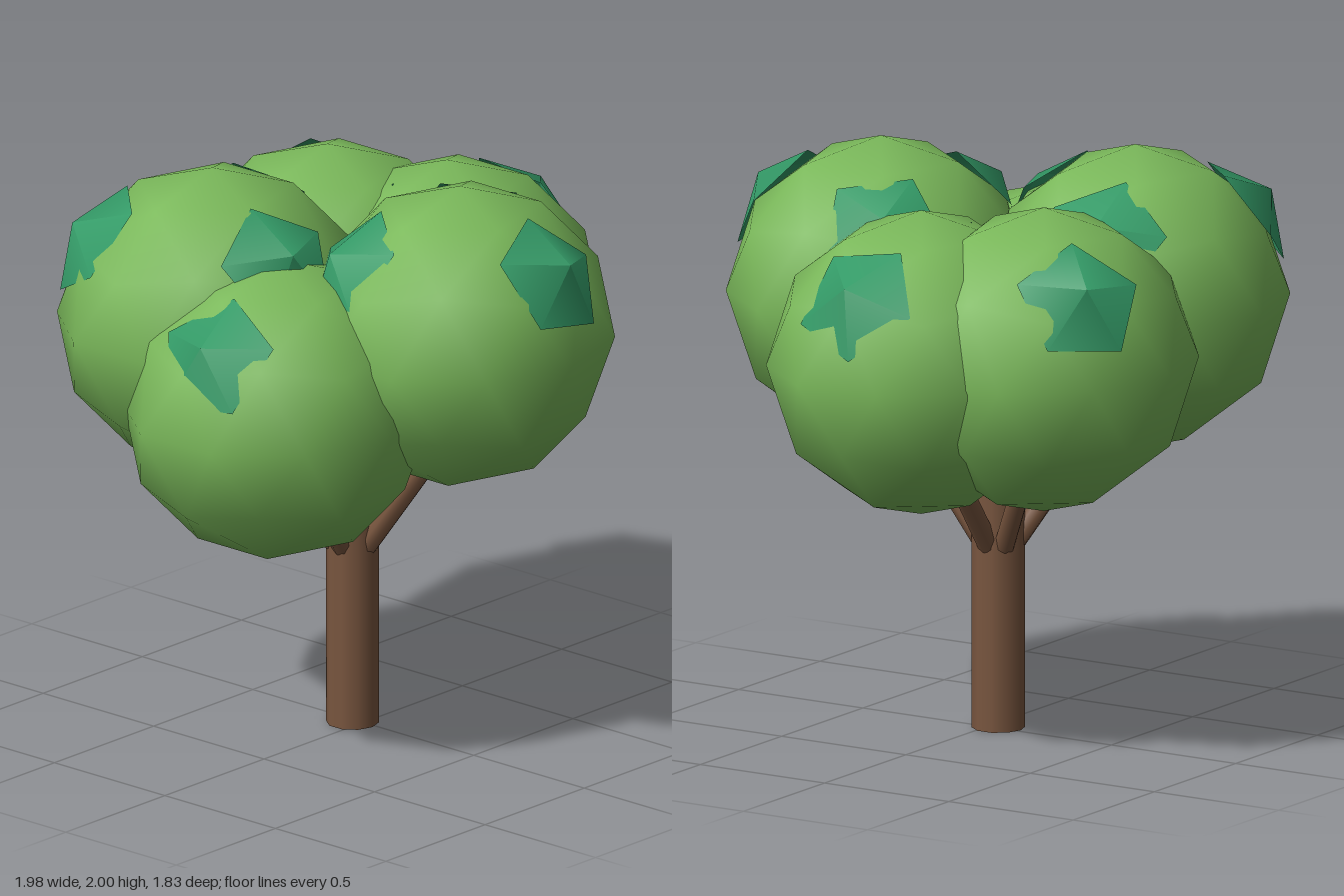
import * as THREE from 'three';

const bark = new THREE.MeshStandardMaterial({ color: 0x79563f });
const leaf = new THREE.MeshStandardMaterial({ color: 0x7ab85a });
const darkLeaf = new THREE.MeshStandardMaterial({ color: 0x339966, side: THREE.DoubleSide });

const UP = new THREE.Vector3(0, 1, 0);
const AXIS = { x: -0.015, z: -0.035 }; // trunk centre line

// Crown balls: centre, and azimuth in degrees (from +x towards +z) of the first leaf patch
const BALLS = [
  { name: 'front', at: [0.035, 1.475, 0.405], turn: 86 },
  { name: 'left', at: [0.46, 1.355, -0.035], turn: 0 },
  { name: 'right', at: [-0.47, 1.26, 0.04], turn: 172 },
  { name: 'backRight', at: [-0.36, 1.465, -0.36], turn: 103 },
  { name: 'backLeft', at: [0.27, 1.375, -0.405], turn: -51 },
];

function add(group, name, geometry, material) {
  const mesh = new THREE.Mesh(geometry, material);
  mesh.name = name;
  group.add(mesh);
  return mesh;
}

function direction(azimuth, elevation) {
  const a = THREE.MathUtils.degToRad(azimuth);
  const e = THREE.MathUtils.degToRad(elevation);
  return new THREE.Vector3(Math.cos(a) * Math.cos(e), Math.sin(e), Math.sin(a) * Math.cos(e));
}

export function createModel() {
  const tree = new THREE.Group();
  tree.name = 'tree';

  // Trunk
  add(tree, 'trunk', new THREE.CylinderGeometry(0.09, 0.09, 1.02, 10), bark)
    .position.set(AXIS.x, 0.51, AXIS.z);

  // Low-poly ball with a vertex at each pole
  const ballGeometry = new THREE.IcosahedronGeometry(1, 1);
  ballGeometry.rotateZ(Math.atan(2 / (1 + Math.sqrt(5))));
  ballGeometry.scale(0.55, 0.525, 0.51);

  // Shallow five-sided cap whose tip pokes out of a ball
  const patchGeometry = new THREE.ConeGeometry(0.22, 0.11, 5, 1, true);
  patchGeometry.translate(0, -0.055, 0);

  const branchGeometry = new THREE.CylinderGeometry(0.034, 0.036, 0.6, 8);
  branchGeometry.translate(0, 0.3, 0);

  for (const { name, at, turn } of BALLS) {
    const crown = new THREE.Group();
    crown.name = name + 'Crown';
    crown.position.set(...at);
    tree.add(crown);
    add(crown, 'foliage', ballGeometry, leaf);

    // Three leaf patches evenly around the upper half
    for (let i = 0; i < 3; i++) {
      const out = direction(turn + i * 120, 36);
      const patch = add(crown, 'leafPatch', patchGeometry, darkLeaf);
      patch.position.copy(out).multiplyScalar(0.585);
      patch.quaternion.setFromUnitVectors(UP, out);
      patch.rotateY(0.5 + i * 0.9);
    }

    // Branch from the trunk towards this ball
    const azimuth = THREE.MathUtils.radToDeg(Math.atan2(at[2] - AXIS.z, at[0] - AXIS.x));
    const branch = add(tree, name + 'Branch', branchGeometry, bark);
    const side = direction(azimuth, 0).multiplyScalar(0.06);
    branch.position.set(AXIS.x + side.x, 0.64, AXIS.z + side.z);
    branch.quaternion.setFromUnitVectors(UP, direction(azimuth, 54));
  }
  return tree;
}
